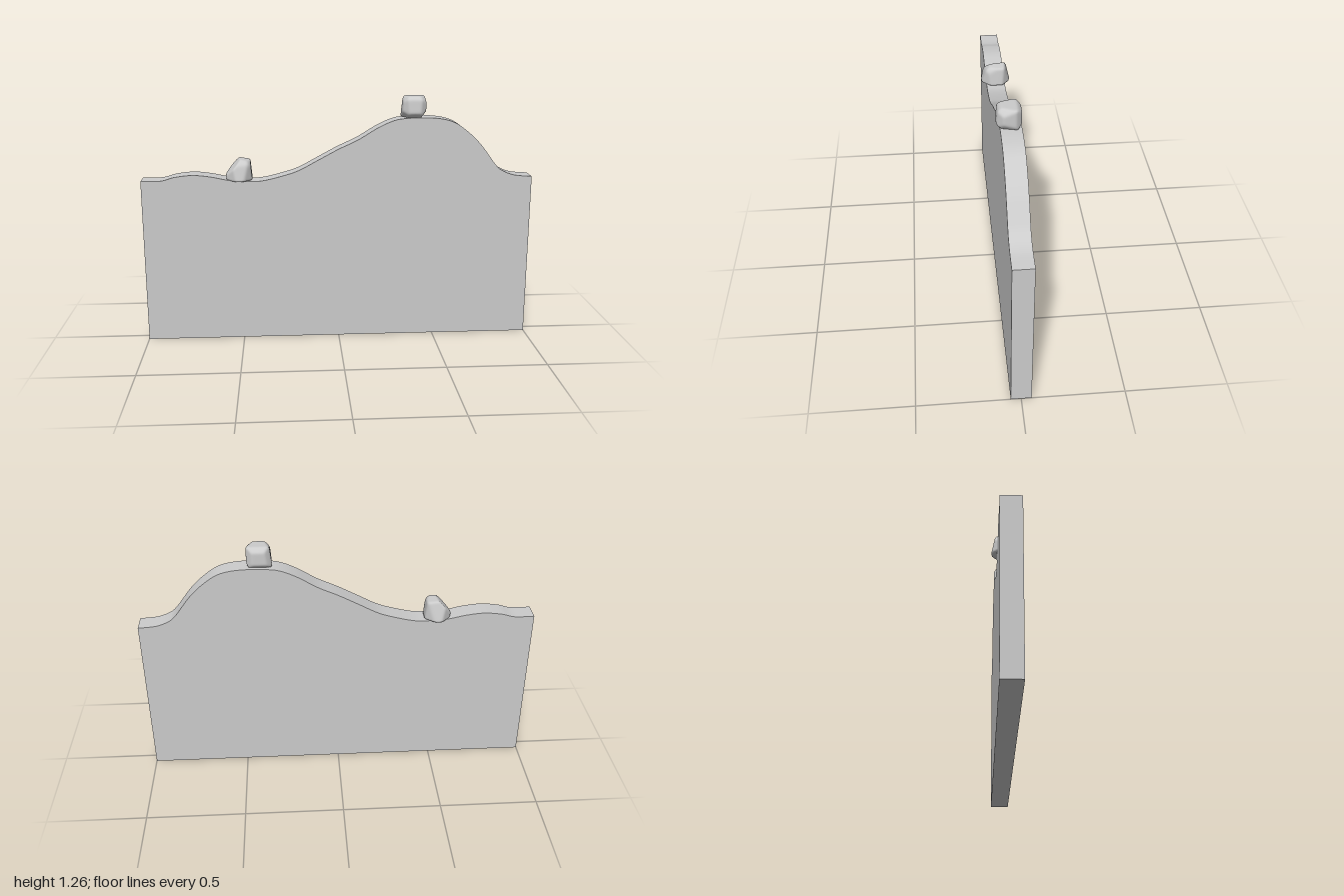
import * as THREE from 'three';
import { mergeVertices, toCreasedNormals } from 'three/addons/utils/BufferGeometryUtils.js';

const material = new THREE.MeshStandardMaterial({ color: 0xcccccc });

// Upper edge of the slab, from the right end to the left end
const ridge = [
  [-1, 0.85], [-0.9, 0.85], [-0.83, 0.868], [-0.74, 0.877], [-0.65, 0.868],
  [-0.55, 0.848], [-0.45, 0.842], [-0.38, 0.846], [-0.28, 0.87], [-0.2, 0.897],
  [-0.1, 0.95], [0, 1.003], [0.1, 1.05], [0.2, 1.11], [0.28, 1.145], [0.35, 1.156],
  [0.48, 1.157], [0.58, 1.137], [0.66, 1.085], [0.73, 1.017], [0.81, 0.912],
  [0.85, 0.88], [0.91, 0.858], [1, 0.85],
].map(([x, y]) => new THREE.Vector2(x, y));

function makeSlab() {
  const shape = new THREE.Shape();
  shape.moveTo(1, 0);
  shape.lineTo(1, 0.85);
  shape.splineThru(ridge.slice(0, -1).reverse());
  shape.lineTo(-1, 0);
  shape.closePath();
  const geometry = new THREE.ExtrudeGeometry(shape, { depth: 0.1, bevelEnabled: false, curveSegments: 70 });
  geometry.translate(0, 0, -0.05);
  return toCreasedNormals(geometry, 0.6);
}

// A stone: a ball cut by planes [nx, ny, nz, distance], with softened edges
function makeRock(planes, sharpness) {
  let geometry = new THREE.IcosahedronGeometry(1, 12);
  geometry.deleteAttribute('uv');
  geometry.deleteAttribute('normal');
  geometry = mergeVertices(geometry);
  const cuts = planes.map(([x, y, z, distance]) => ({ normal: new THREE.Vector3(x, y, z).normalize(), distance }));
  const position = geometry.attributes.position;
  const v = new THREE.Vector3();
  for (let i = 0; i < position.count; i++) {
    v.fromBufferAttribute(position, i).normalize();
    let sum = 0;
    for (const { normal, distance } of cuts) {
      sum += Math.pow(Math.max(0, v.dot(normal)) / distance, sharpness);
    }
    v.multiplyScalar(Math.pow(sum, -1 / sharpness));
    position.setXYZ(i, v.x, v.y, v.z);
  }
  geometry.computeVertexNormals();
  return geometry;
}

export function createModel() {
  const group = new THREE.Group();
  const add = (name, geometry, x = 0, y = 0, z = 0) => {
    const mesh = new THREE.Mesh(geometry, material);
    mesh.name = name;
    mesh.position.set(x, y, z);
    group.add(mesh);
  };

  add('terrainSlab', makeSlab());

  // Lopsided stone in the valley, sloping down to one side
  add('valleyRock', makeRock([
    [0, -1, 0, 0.041], [0.15, 1, 0, 0.066], [-0.74, 0.67, 0.1, 0.042],
    [-1, -0.2, 0, 0.071], [1, 0.1, 0, 0.062], [0.8, 0.6, 0.3, 0.075],
    [0.1, 0.25, 1, 0.066], [0.1, 0.25, -1, 0.066],
    [0.8, 0, 0.7, 0.068], [-0.7, 0, 0.7, 0.066],
    [-0.7, 0, -0.7, 0.068], [0.7, 0, -0.8, 0.07], [0, 0.8, 0.7, 0.068],
  ], 22), -0.505, 0.885, 0);

  // Blocky round stone on the summit
  add('summitRock', makeRock([
    [0, -1, 0, 0.054], [0, 1, 0, 0.055], [-1, 0.1, 0, 0.06], [1, 0, 0, 0.06],
    [0, 0.1, 1, 0.058], [0, 0, -1, 0.057],
    [0.8, -0.6, 0.2, 0.063], [-0.7, 0.7, 0.2, 0.066], [0.7, 0.7, 0.3, 0.067],
    [-0.7, -0.6, 0.4, 0.066], [0, 0.75, 0.7, 0.066], [0, -0.7, 0.7, 0.064],
    [0.7, 0, 0.7, 0.063], [-0.7, 0, 0.7, 0.063],
    [0.7, 0, -0.7, 0.063], [-0.7, 0.1, -0.7, 0.065], [0, 0.7, -0.7, 0.064], [0, -0.7, -0.7, 0.064],
  ], 24), 0.385, 1.21, 0.007);

  return group;
}
